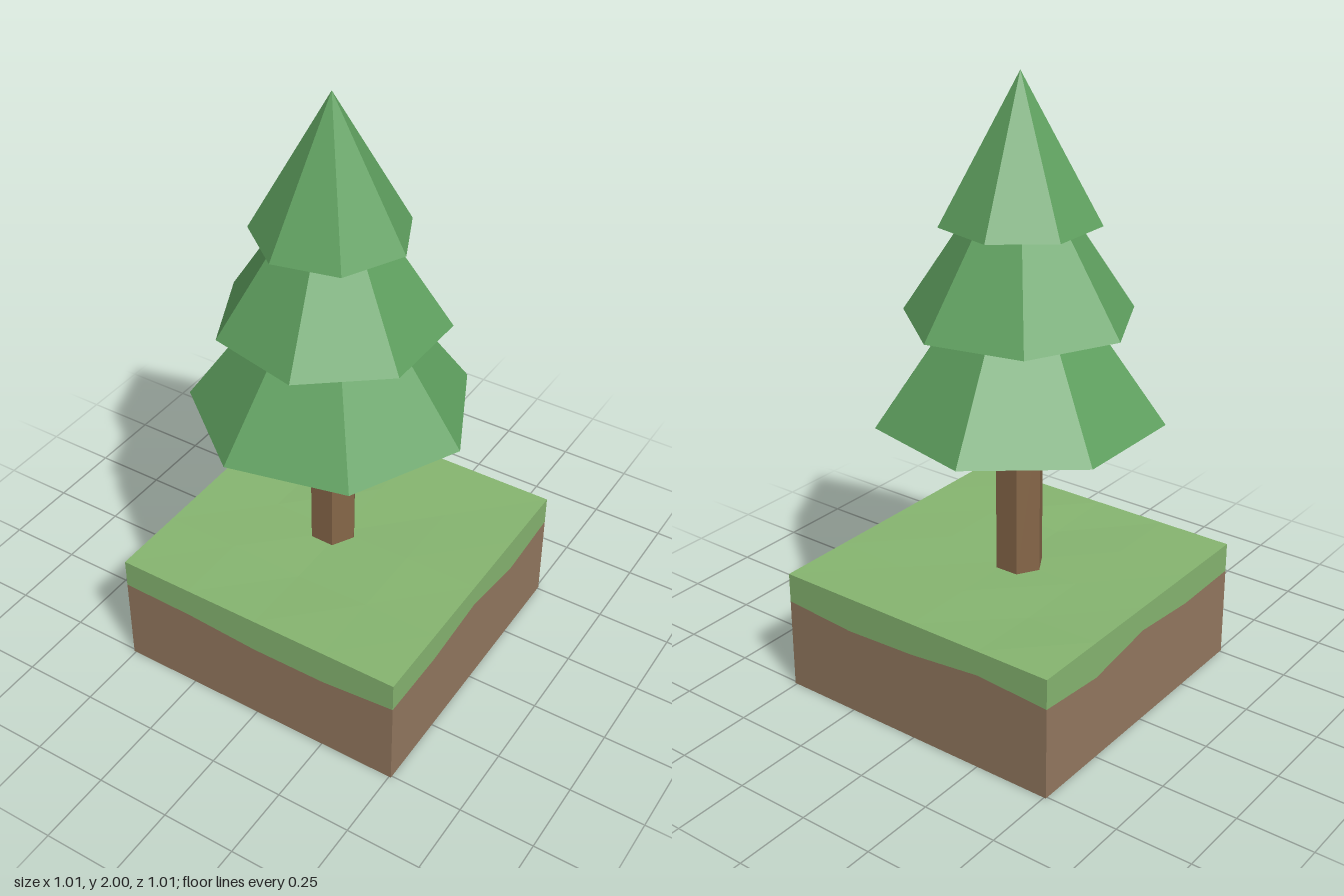
import * as THREE from 'three';

const HALF = 0.507, TOP = 0.408, SEG = 4;
const TREE_X = -0.028, TREE_Z = 0.003;

const paint = (color) => new THREE.MeshStandardMaterial({ color, flatShading: true });

// Loop of 16 points around the square, counter-clockwise seen from above, from front left corner
function rim(i) {
  const t = -HALF + (2 * HALF * (i % SEG)) / SEG;
  return [[t, HALF], [HALF, -t], [-t, -HALF], [-HALF, t]][Math.floor(i / SEG) % 4];
}

// Height of the wavy soil line at each rim point: front, right, back, left side
const SOIL = [
  0.308, 0.303, 0.285, 0.285,
  0.308, 0.306, 0.33, 0.287,
  0.308, 0.29, 0.30, 0.325,
  0.308, 0.285, 0.325, 0.303,
];

// Vertical band around the block between two height rules
function band(low, high) {
  const pos = [];
  const n = SOIL.length;
  for (let i = 0; i < n; i++) {
    const j = (i + 1) % n;
    const [ax, az] = rim(i), [bx, bz] = rim(j);
    const a0 = [ax, low(i), az], b0 = [bx, low(j), bz];
    const a1 = [ax, high(i), az], b1 = [bx, high(j), bz];
    pos.push(...a0, ...b0, ...b1, ...a0, ...b1, ...a1);
  }
  const g = new THREE.BufferGeometry();
  g.setAttribute('position', new THREE.Float32BufferAttribute(pos, 3));
  g.computeVertexNormals();
  return g;
}

export function createModel() {
  const root = new THREE.Group();
  const add = (name, geometry, material, x = 0, y = 0, z = 0) => {
    const m = new THREE.Mesh(geometry, material);
    m.name = name;
    m.position.set(x, y, z);
    root.add(m);
    return m;
  };
  const soil = paint(0x93785f), grass = paint(0x86b570);
  const bark = paint(0x856648), leaves = paint(0x5fa05f);

  // Ground block: soil below, grass above
  add('soilSides', band(() => 0, (i) => SOIL[i]), soil);
  const bottom = new THREE.PlaneGeometry(2 * HALF, 2 * HALF).rotateX(Math.PI / 2);
  add('soilBottom', bottom, soil);
  add('grassSides', band((i) => SOIL[i], () => TOP), grass);

  // Grass surface: rim level, inner points dip very slightly
  const lawn = new THREE.PlaneGeometry(2 * HALF, 2 * HALF, SEG, SEG).rotateX(-Math.PI / 2);
  const p = lawn.attributes.position;
  for (let i = 0; i < p.count; i++) {
    const inner = Math.max(Math.abs(p.getX(i)), Math.abs(p.getZ(i))) < HALF - 0.01;
    if (inner) p.setY(i, -0.004 * (1 + Math.sin(i * 2.3)));
  }
  lawn.computeVertexNormals();
  add('grassTop', lawn, grass, 0, TOP, 0);

  // Six-sided trunk with corners towards both sides
  const trunk = new THREE.CylinderGeometry(0.08, 0.08, 0.58, 6).rotateY(Math.PI / 2);
  add('trunk', trunk, bark, TREE_X, 0.67, TREE_Z);

  // Seven-sided foliage tiers; the middle one is turned half way round
  const tiers = [
    { name: 'lowerFoliage', y: 0.93, r: 0.455, h: 0.64, turn: Math.PI / 2 },
    { name: 'middleFoliage', y: 1.25, r: 0.365, h: 0.56, turn: -Math.PI / 2 },
    { name: 'upperFoliage', y: 1.55, r: 0.25, h: 0.45, turn: Math.PI / 2 },
  ];
  for (const t of tiers) {
    const cone = new THREE.ConeGeometry(t.r, t.h, 7).rotateY(t.turn);
    add(t.name, cone, leaves, TREE_X, t.y + t.h / 2, TREE_Z);
  }
  return root;
}
